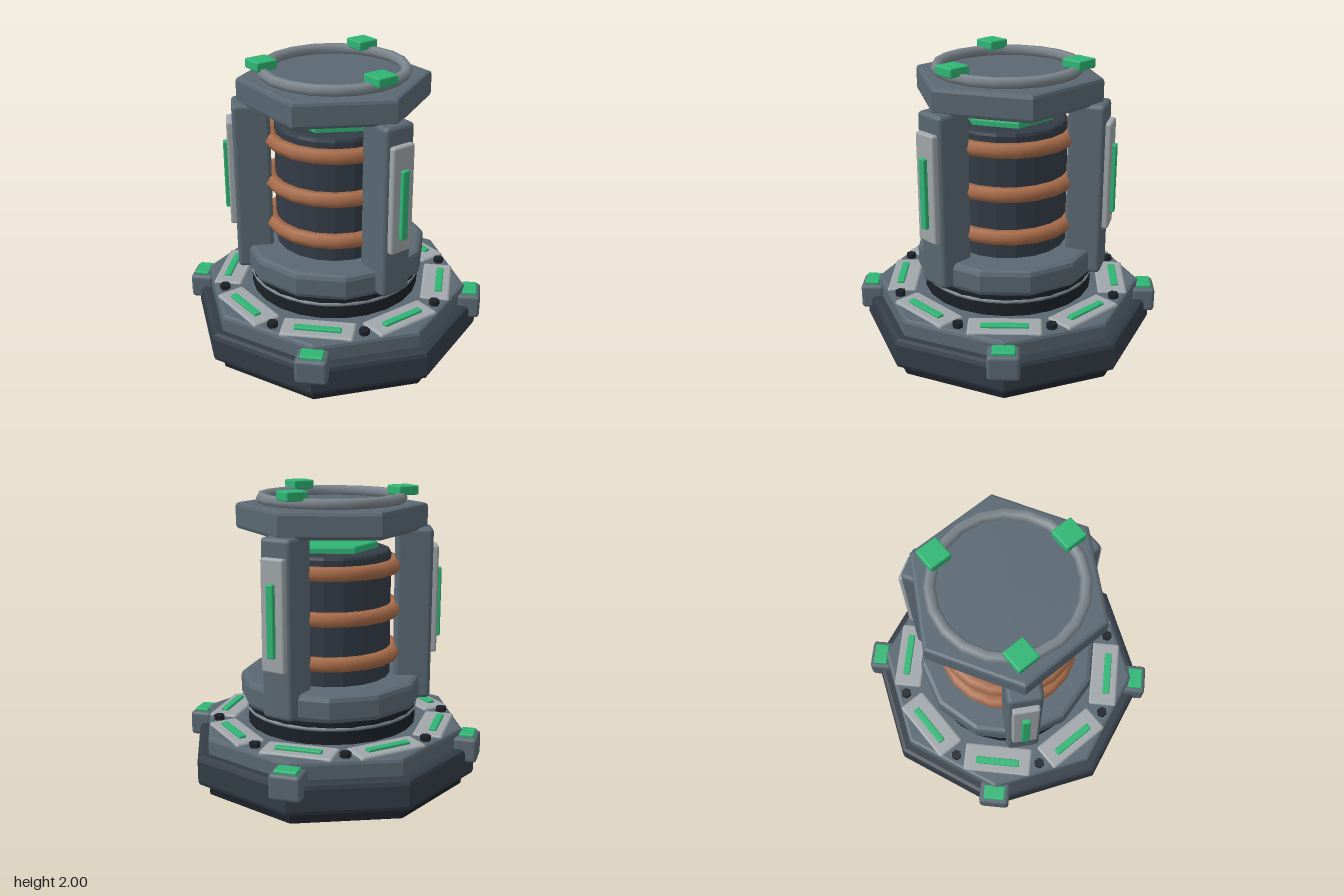
import * as THREE from 'three';
import { RoundedBoxGeometry } from 'three/addons/geometries/RoundedBoxGeometry.js';

const mat = (color, flatShading = false) => new THREE.MeshStandardMaterial({ color, flatShading });
const STEEL = 0x5a6872, DARK = 0x333c46, BLACK = 0x1c2229, PLATE = 0xa0a6aa, GREEN = 0x2fb574, COPPER = 0xa86c4a, RIM = 0x7c868d;

export function createModel() {
  const model = new THREE.Group();

  function add(name, geometry, color, flat = false) {
    const mesh = new THREE.Mesh(geometry, mat(color, flat));
    mesh.name = name;
    model.add(mesh);
    return mesh;
  }

  // Closed prism with chamfered rims and a corner facing +z
  function prism(name, sides, r, y0, y1, bevel, color, flat = true) {
    const b = bevel, k = b * 0.3;
    const profile = [
      [0, y0], [r - b, y0], [r - k, y0 + k], [r, y0 + b],
      [r, y1 - b], [r - k, y1 - k], [r - b, y1], [0, y1],
    ].map(([x, y]) => new THREE.Vector2(x, y));
    return add(name, new THREE.LatheGeometry(profile, sides), color, flat);
  }

  // Rounded box turned to face outward at an angle around the axis
  function radialBox(name, angle, radius, y0, y1, width, depth, round, color) {
    const mesh = add(name, new RoundedBoxGeometry(width, y1 - y0, depth, 2, round), color);
    mesh.position.set(Math.sin(angle) * radius, (y0 + y1) / 2, Math.cos(angle) * radius);
    mesh.rotation.y = angle;
    return mesh;
  }

  function hoop(name, radius, tube, y, sides, segments, color) {
    const mesh = add(name, new THREE.TorusGeometry(radius, tube, sides, segments), color);
    mesh.rotation.x = Math.PI / 2;
    mesh.position.y = y;
    return mesh;
  }

  // Octagonal stepped base
  prism('foot', 8, 0.92, 0, 0.1, 0.004, BLACK);
  prism('basePlinth', 8, 1, 0.075, 0.285, 0.035, DARK);
  prism('baseDeck', 8, 0.92, 0.25, 0.4, 0.025, STEEL);

  // Deck plates with light strips, and bolts between them
  for (let i = 0; i < 8; i++) {
    const a = i * Math.PI / 4;
    radialBox('deckPlate', a, 0.72, 0.37, 0.415, 0.48, 0.2, 0.018, PLATE);
    radialBox('deckLight', a, 0.74, 0.4, 0.432, 0.31, 0.05, 0.008, GREEN);
    const b = a + Math.PI / 8;
    const bolt = add('deckBolt', new THREE.CylinderGeometry(0.036, 0.036, 0.05, 6), BLACK, true);
    bolt.position.set(Math.sin(b) * 0.78, 0.408, Math.cos(b) * 0.78);
  }

  // Corner clamps
  for (let i = 0; i < 4; i++) {
    const a = Math.PI / 4 + i * Math.PI / 2;
    radialBox('cornerClamp', a, 0.95, 0.19, 0.362, 0.21, 0.16, 0.025, STEEL);
    radialBox('cornerLight', a, 0.955, 0.345, 0.382, 0.15, 0.1, 0.01, GREEN);
  }

  // Turntable collar and lower ring
  prism('collar', 24, 0.58, 0.38, 0.56, 0.015, BLACK, false);
  hoop('collarTrim', 0.573, 0.014, 0.502, 8, 32, RIM);
  prism('lowerRing', 12, 0.625, 0.55, 0.73, 0.035, STEEL);

  // Core with coils and glowing cap
  prism('core', 20, 0.4, 0.7, 1.585, 0.025, DARK);
  prism('coreLight', 6, 0.31, 1.57, 1.63, 0.015, GREEN);
  for (const y of [0.89, 1.185, 1.48]) hoop('coil', 0.43, 0.05, y, 6, 20, COPPER);

  // Three pillars with plates and light strips
  for (let i = 0; i < 3; i++) {
    const a = i * Math.PI * 2 / 3;
    radialBox('pillar', a, 0.55, 0.565, 1.73, 0.225, 0.245, 0.03, STEEL);
    radialBox('pillarPlate', a, 0.683, 0.885, 1.61, 0.17, 0.055, 0.015, PLATE);
    radialBox('pillarLight', a, 0.715, 0.985, 1.455, 0.052, 0.045, 0.008, GREEN);
  }

  // Hexagonal head with rim and three beacons
  prism('head', 6, 0.637, 1.71, 1.885, 0.025, STEEL);
  hoop('headRim', 0.465, 0.037, 1.922, 6, 20, RIM);
  for (let i = 0; i < 3; i++) {
    const a = i * Math.PI * 2 / 3;
    radialBox('beacon', a, 0.47, 1.938, 2, 0.153, 0.153, 0.01, GREEN).rotation.y = 0;
  }

  return model;
}
